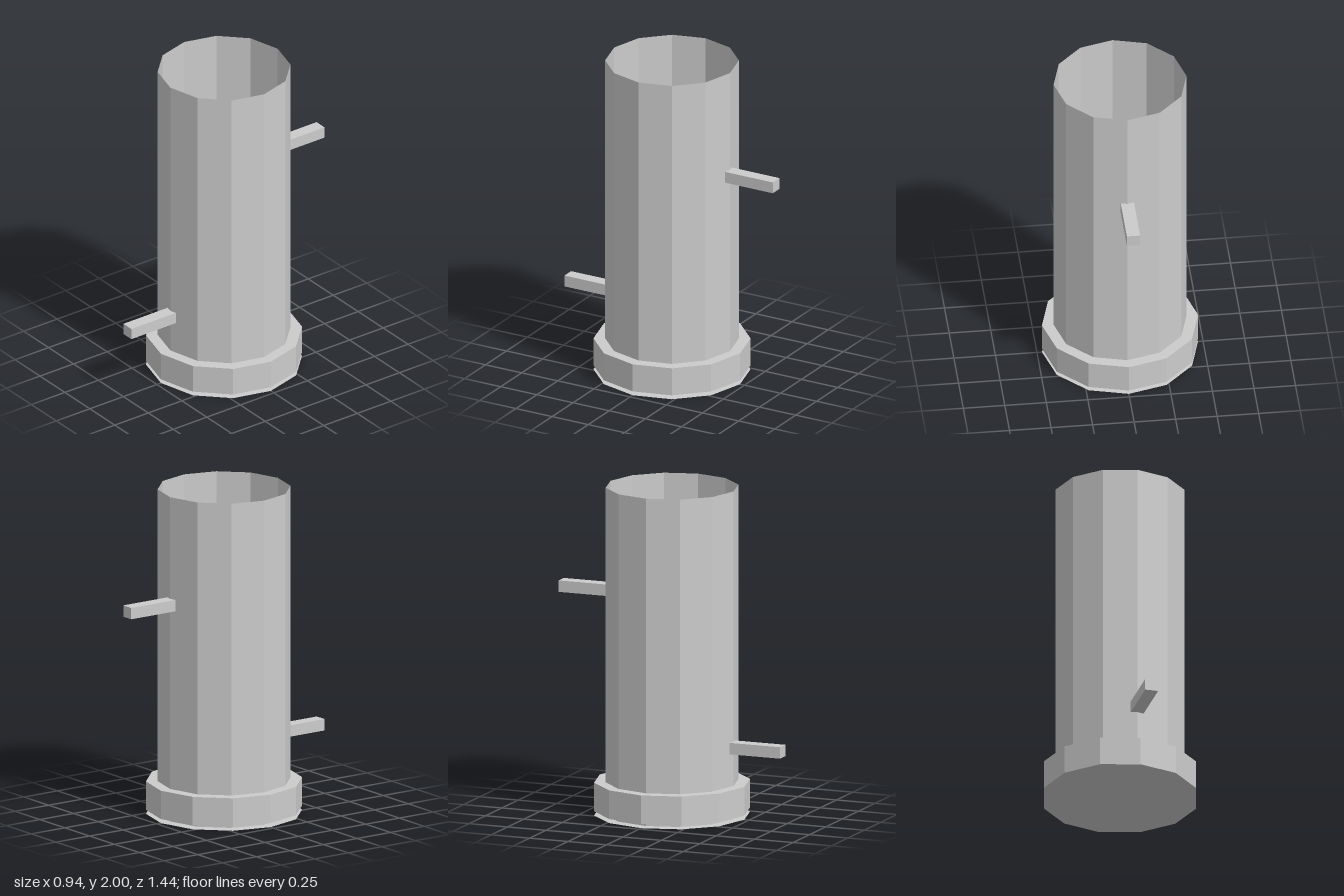
import * as THREE from 'three';

export function createModel() {
  const model = new THREE.Group();
  const grey = new THREE.MeshStandardMaterial({ color: 0xcccccc, flatShading: true, side: THREE.DoubleSide });
  grey.name = 'grey';
  const SIDES = 12;

  const add = (name, geometry, x, y, z) => {
    const mesh = new THREE.Mesh(geometry, grey);
    mesh.name = name;
    mesh.position.set(x, y, z);
    model.add(mesh);
    return mesh;
  };

  // Thin open tube
  add('tube', new THREE.CylinderGeometry(0.4, 0.4, 2, SIDES, 1, true), 0, 1, 0);

  // Solid collar around the foot of the tube
  add('baseCollar', new THREE.CylinderGeometry(0.47, 0.47, 0.175, SIDES), 0, 0.1125, 0);

  // Flat disc closing the bottom
  add('bottomDisc', new THREE.CircleGeometry(0.47, SIDES).rotateX(Math.PI / 2), 0, 0, 0);

  // Square pegs through the wall: low at the front, high at the back
  const peg = new THREE.BoxGeometry(0.08, 0.07, 0.4);
  add('frontPeg', peg, 0, 0.436, 0.52);
  add('backPeg', peg, 0, 1.338, -0.52);

  return model;
}
